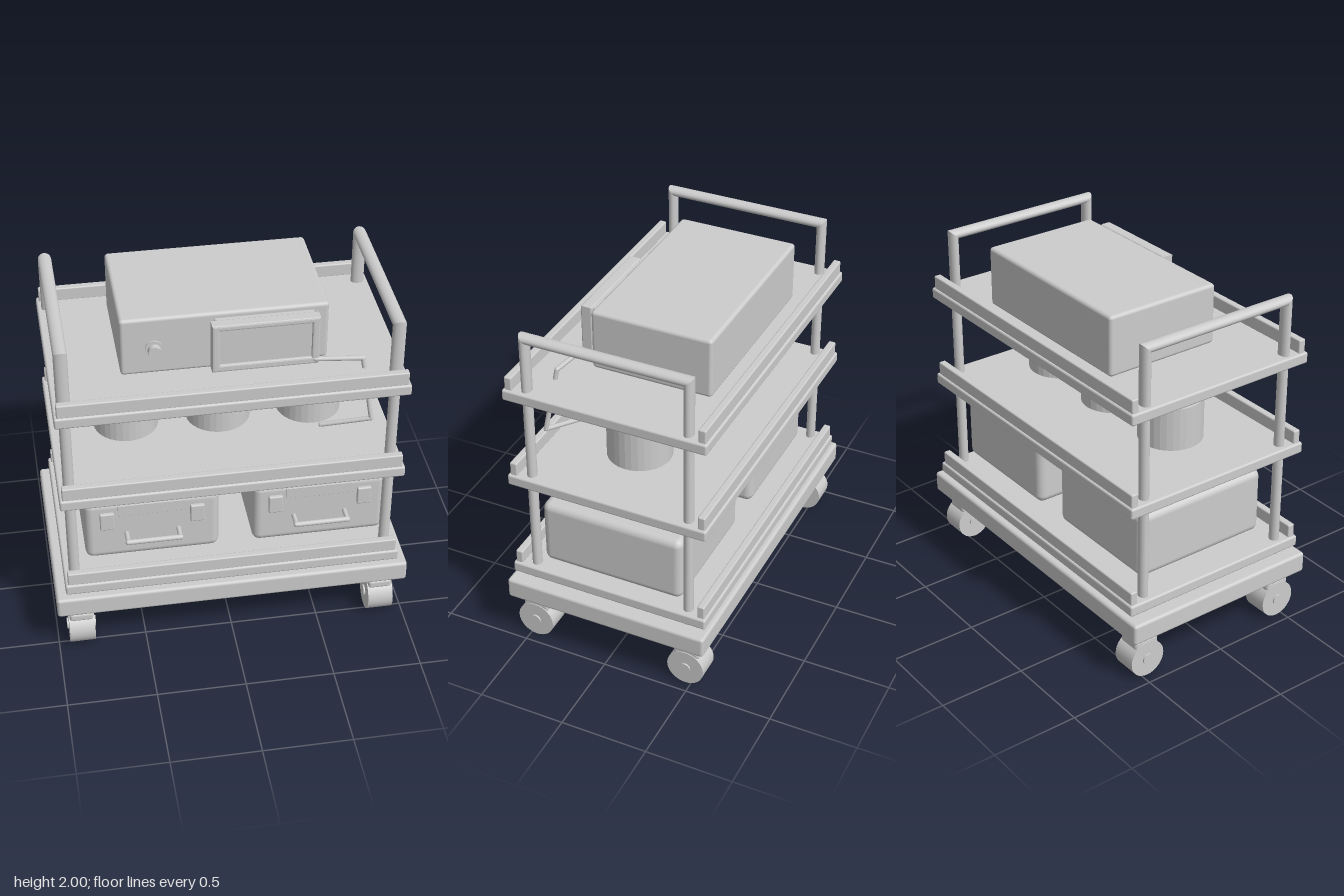
import * as THREE from 'three';
import { RoundedBoxGeometry } from 'three/addons/geometries/RoundedBoxGeometry.js';

export function createModel() {
  const root = new THREE.Group();
  const grey = new THREE.MeshStandardMaterial({ color: 0xcccccc });
  grey.name = 'light grey';

  const add = (parent, name, geo, x = 0, y = 0, z = 0) => {
    const m = new THREE.Mesh(geo, grey);
    m.name = name;
    m.position.set(x, y, z);
    parent.add(m);
    return m;
  };
  const group = (name) => {
    const g = new THREE.Group();
    g.name = name;
    root.add(g);
    return g;
  };
  // rounded box given by its limits
  const block = (parent, name, [x0, x1], [y0, y1], [z0, z1], r = 0.01) =>
    add(parent, name, new RoundedBoxGeometry(x1 - x0, y1 - y0, z1 - z0, 3, r),
      (x0 + x1) / 2, (y0 + y1) / 2, (z0 + z1) / 2);
  // round bar between two points
  const bar = (parent, name, a, b, r) => {
    const p = new THREE.Vector3(...a), q = new THREE.Vector3(...b);
    const m = add(parent, name, new THREE.CylinderGeometry(r, r, p.distanceTo(q), 16));
    m.position.copy(p).add(q).multiplyScalar(0.5);
    m.quaternion.setFromUnitVectors(new THREE.Vector3(0, 1, 0), q.sub(p).normalize());
    return m;
  };
  // chain of bars with round joints
  const chain = (parent, name, pts, r) => pts.forEach((p, i) => {
    if (i) bar(parent, name, pts[i - 1], p, r);
    add(parent, name + 'Joint', new THREE.SphereGeometry(r, 12, 8), ...p);
  });

  // base slab and three trays with front and back rails
  block(root, 'base', [-1, 1], [0.28, 0.405], [-0.6, 0.6], 0.018);
  for (const y of [0.43, 1.035, 1.585]) {
    const tray = group('tray');
    block(tray, 'trayPlate', [-0.945, 0.945], [y, y + 0.065], [-0.585, 0.585], 0.012);
    for (const s of [-1, 1])
      block(tray, 'trayRail', [-0.93, 0.93], [y + 0.06, y + 0.14],
        [s * 0.553 - 0.021, s * 0.553 + 0.021], 0.008);
  }

  // posts and mitred push handles
  const px = 0.885, pz = 0.463, topY = 1.965, r = 0.027;
  const mitredBar = (len, mitre) => {
    const g = new THREE.CylinderGeometry(r, r, len, 24, 1, true);
    const p = g.attributes.position;
    for (let i = 0; i < p.count; i++) mitre(p, i);
    return g;
  };
  for (const sx of [-1, 1]) {
    const handle = group('handle');
    handle.position.x = sx * px;
    for (const sz of [-1, 1]) {
      const post = add(handle, 'post', new THREE.CylinderGeometry(r, r, 1.38, 24), 0, 0.94, sz * pz);
      post.scale.x = 1.13;
      const upright = add(handle, 'handleUpright', mitredBar(topY - 1.6, (p, i) => {
        if (p.getY(i) > 0) p.setY(i, p.getY(i) + sz * p.getZ(i));
      }), 0, (topY + 1.6) / 2, sz * pz);
      upright.scale.x = 1.37;
    }
    const grip = add(handle, 'handleGrip', mitredBar(2 * pz, (p, i) => {
      const end = Math.sign(p.getY(i)), up = -p.getZ(i);
      p.setY(i, p.getY(i) + end * up);
    }), 0, topY, 0);
    grip.rotation.x = Math.PI / 2;
    grip.scale.x = 1.37;
  }

  // four casters
  for (const sx of [-1, 1]) for (const sz of [-1, 1]) {
    const caster = group('caster');
    caster.position.set(sx * 0.865, 0, sz * 0.466);
    add(caster, 'wheel', new THREE.CylinderGeometry(0.108, 0.108, 0.145, 32), 0, 0.108, 0).rotation.z = Math.PI / 2;
    add(caster, 'hub', new THREE.CylinderGeometry(0.032, 0.032, 0.164, 20), 0, 0.108, 0).rotation.z = Math.PI / 2;
    block(caster, 'fork', [-0.068, 0.068], [0.18, 0.235], [-0.076, 0.076], 0.018);
    add(caster, 'stem', new THREE.CylinderGeometry(0.029, 0.029, 0.08, 20), 0, 0.255, 0);
  }

  // two carrying cases on the lowest tray
  for (const x of [-0.433, 0.512]) {
    const c = group('case');
    c.position.x = x;
    block(c, 'caseBody', [-0.377, 0.377], [0.53, 0.923], [-0.419, 0.419], 0.045);
    block(c, 'caseLabel', [-0.19, 0.19], [0.825, 0.895], [0.414, 0.422], 0.002);
    for (const s of [-1, 1]) {
      block(c, 'latch', [s * 0.252 - 0.04, s * 0.252 + 0.04], [0.745, 0.857], [0.41, 0.438], 0.008);
      bar(c, 'handleLeg', [s * 0.145, 0.698, 0.41], [s * 0.145, 0.698, 0.5], 0.013);
    }
    chain(c, 'caseHandle', [[-0.147, 0.698, 0.5], [0.147, 0.698, 0.5]], 0.015);
  }

  // three faceted canisters on the middle tray
  const can = new THREE.CylinderGeometry(0.181, 0.181, 0.248, 32).toNonIndexed();
  can.computeVertexNormals();
  for (const x of [-0.519, 0, 0.516]) add(root, 'canister', can, x, 1.279, 0);

  // instrument on the top tray
  const unit = group('instrument');
  block(unit, 'housing', [-0.56, 0.557], [1.65, 1.996], [-0.435, 0.255], 0.02);
  const disc = (name, rad, z0, z1) =>
    add(unit, name, new THREE.CylinderGeometry(rad, rad, z1 - z0, 32), -0.382, 1.823, (z0 + z1) / 2).rotation.x = Math.PI / 2;
  disc('knobPlate', 0.046, 0.27, 0.278);
  disc('knobShaft', 0.015, 0.25, 0.3);
  disc('knob', 0.036, 0.29, 0.325);

  // display: mount, back, frame with an opening and a recessed screen
  block(unit, 'displayMount', [-0.06, 0.475], [1.69, 1.965], [0.25, 0.29], 0.008);
  const rect = (path, x0, x1, y0, y1) =>
    path.moveTo(x0, y0).lineTo(x1, y0).lineTo(x1, y1).lineTo(x0, y1).closePath();
  const outline = new THREE.Shape();
  rect(outline, -0.073, 0.483, 1.69, 1.961);
  const opening = new THREE.Path();
  rect(opening, -0.051, 0.461, 1.712, 1.947);
  outline.holes.push(opening);
  add(unit, 'displayFrame', new THREE.ExtrudeGeometry(outline, {
    depth: 0.05, bevelThickness: 0.008, bevelSize: 0.01, bevelSegments: 2,
  }), 0, 0, 0.29);
  block(unit, 'displayScreen', [-0.06, 0.47], [1.7, 1.955], [0.284, 0.332], 0.004);

  // bent wand hanging from the display
  chain(group('wand'), 'wandRod', [
    [0.47, 1.705, 0.34], [0.725, 1.705, 0.372], [0.775, 1.34, 0.428], [0.515, 1.268, 0.348],
  ], 0.013);

  return root;
}
